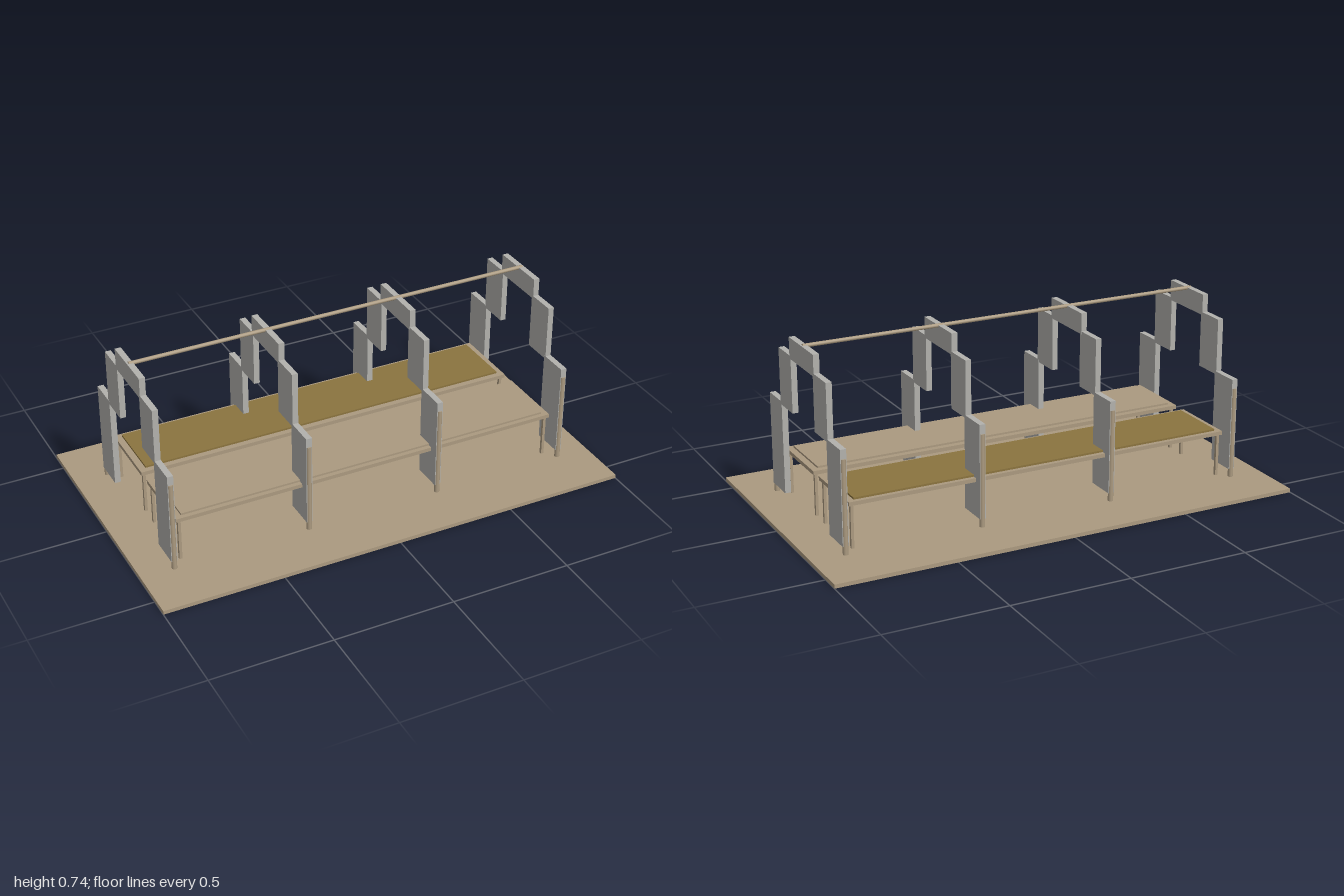
import * as THREE from 'three';

const mat = (name, color) => {
  const m = new THREE.MeshStandardMaterial({ color });
  m.name = name;
  return m;
};

export function createModel() {
  const wood = mat('tan wood', 0xab9a80);
  const olive = mat('olive cushion', 0x8b743f);
  const grey = mat('grey panel', 0xb2b1ad);
  const model = new THREE.Group();
  model.name = 'archedTableShelter';

  // Box given by its min and max on each axis
  const box = (parent, name, material, [x0, x1], [y0, y1], [z0, z1]) => {
    const mesh = new THREE.Mesh(new THREE.BoxGeometry(x1 - x0, y1 - y0, z1 - z0), material);
    mesh.position.set((x0 + x1) / 2, (y0 + y1) / 2, (z0 + z1) / 2);
    mesh.name = name;
    parent.add(mesh);
    return mesh;
  };
  // Span from a to b, mirrored to the back when side is -1
  const span = (side, a, b) => (side > 0 ? [a, b] : [-b, -a]);

  const base = 0.016;
  box(model, 'basePlatform', wood, [-1, 1], [0, base], [-0.585, 0.585]);

  // Four stepped arches with short round posts on their outer edges
  const postGeometry = new THREE.CylinderGeometry(0.011, 0.011, 0.4 - base, 12);
  for (const x of [-0.86, -0.287, 0.287, 0.86]) {
    const arch = new THREE.Group();
    arch.name = 'arch';
    model.add(arch);
    const wide = [x - 0.0125, x + 0.0125];
    box(arch, 'topPanel', grey, wide, [0.65, 0.737], [-0.124, 0.124]);
    for (const side of [1, -1]) {
      box(arch, 'lowerPanel', grey, wide, [0.05, 0.439], span(side, 0.232, 0.362));
      // Slightly thinner, so overlapping faces do not coincide
      box(arch, 'middlePanel', grey, [x - 0.0122, x + 0.0122], [0.427, 0.662], span(side, 0.114, 0.242));
      const post = new THREE.Mesh(postGeometry, wood);
      post.name = 'post';
      post.position.set(x, (0.4 + base) / 2, side * 0.357);
      arch.add(post);
    }
  }

  // Ridge pole
  const ridge = new THREE.Mesh(new THREE.CylinderGeometry(0.008, 0.008, 1.73, 12), wood);
  ridge.name = 'ridgePole';
  ridge.rotation.z = Math.PI / 2;
  ridge.position.y = 0.735;
  model.add(ridge);

  // Two long tables, the rear one with an olive top
  for (const side of [1, -1]) {
    const table = new THREE.Group();
    table.name = side > 0 ? 'frontTable' : 'rearTable';
    table.position.z = -0.003;
    model.add(table);
    box(table, 'tableTop', wood, [-0.83, 0.83], [0.194, 0.21], span(side, 0.028, 0.326));
    box(table, 'tableInlay', side > 0 ? wood : olive, [-0.803, 0.803], [0.21, 0.218], span(side, 0.052, 0.308));
    for (const x of [-0.815, 0.815]) {
      for (const z of [0.044, 0.312]) {
        box(table, 'tableLeg', wood, [x - 0.006, x + 0.006], [base, 0.194], span(side, z - 0.006, z + 0.006));
      }
    }
  }
  return model;
}
